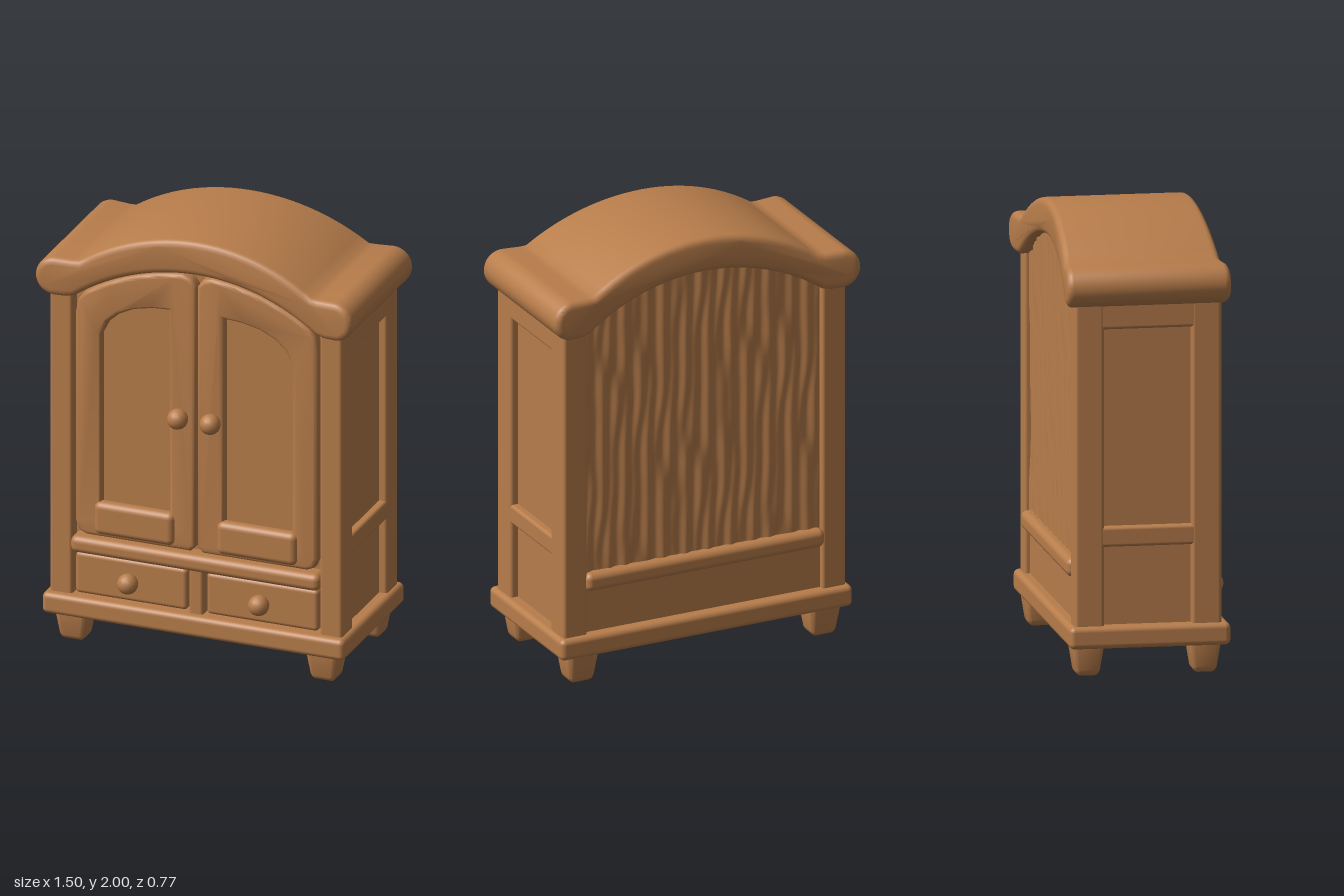
import * as THREE from 'three';
import { toCreasedNormals } from 'three/addons/utils/BufferGeometryUtils.js';
import { RoundedBoxGeometry } from 'three/addons/geometries/RoundedBoxGeometry.js';

const wood = new THREE.MeshStandardMaterial({ color: 0xb87d4b });
wood.name = 'warmWood';

// Height of a shallow arch with its crest at the given height
const arch = (x, crest, r = 0.975) => crest - r + Math.sqrt(r * r - x * x);

// Points along an arch from x = a to x = b
function archPoints(a, b, crest, r, n = 24) {
  const pts = [];
  for (let i = 0; i <= n; i++) {
    const x = a + (b - a) * i / n;
    pts.push(new THREE.Vector2(x, arch(x, crest, r)));
  }
  return pts;
}

// Moves every vertex by a rule
function warp(geo, rule) {
  const p = geo.attributes.position;
  const v = new THREE.Vector3();
  for (let i = 0; i < p.count; i++) {
    v.fromBufferAttribute(p, i);
    rule(v);
    p.setXYZ(i, v.x, v.y, v.z);
  }
  return geo;
}

// Extrudes a shape between two depths with rounded edges inside its outline
function slab(shape, z0, z1, bevel) {
  const geo = new THREE.ExtrudeGeometry(shape, {
    depth: z1 - z0 - 2 * bevel, bevelEnabled: bevel > 0, bevelThickness: bevel,
    bevelSize: bevel, bevelOffset: -bevel, bevelSegments: 4, curveSegments: 16,
  });
  return geo.translate(0, 0, z0 + bevel);
}

export function createModel() {
  const model = new THREE.Group();
  model.name = 'wardrobe';

  const add = (name, geo) => {
    const mesh = new THREE.Mesh(geo, wood);
    mesh.name = name;
    model.add(mesh);
    return mesh;
  };
  const box = (name, x0, x1, y0, y1, z0, z1, r = 0.015) => add(name,
    new RoundedBoxGeometry(x1 - x0, y1 - y0, z1 - z0, 3, r)
      .translate((x0 + x1) / 2, (y0 + y1) / 2, (z0 + z1) / 2));

  // Carcass with an arched top hidden in the crown
  const core = new THREE.Shape([
    new THREE.Vector2(-0.655, 0.2), new THREE.Vector2(0.655, 0.2),
    new THREE.Vector2(0.655, 1.7), ...archPoints(0.57, -0.57, 1.89, 0.975),
    new THREE.Vector2(-0.655, 1.7),
  ]);
  add('carcass', toCreasedNormals(slab(core, -0.3, 0.25, 0), 0.6));

  // Arched crown with rolled ends, waisted towards the middle
  const crownShape = new THREE.Shape();
  crownShape.setFromPoints(archPoints(-0.57, 0.57, 1.84, 0.99));
  crownShape.lineTo(0.61, 1.65);
  crownShape.absarc(0.66, 1.74, 0.09, -Math.PI / 2, Math.PI / 2, false);
  crownShape.lineTo(0.58, 1.828);
  archPoints(0.55, -0.55, 2.0, 0.975).forEach((p) => crownShape.lineTo(p.x, p.y));
  crownShape.lineTo(-0.58, 1.828);
  crownShape.absarc(-0.66, 1.74, 0.09, Math.PI / 2, Math.PI * 1.5, false);
  crownShape.lineTo(-0.61, 1.65);
  const crown = warp(slab(crownShape, -0.345, 0.31, 0.03), (v) => {
    v.z += Math.sign(v.z) * 0.038 * Math.min(1, (v.x / 0.72) ** 2);
  });
  add('crown', toCreasedNormals(crown, 0.7));

  // Plinth
  box('plinth', -0.715, 0.715, 0.13, 0.23, -0.367, 0.35, 0.025);

  for (const s of [-1, 1]) {
    const mirrored = (name, x0, x1, ...rest) =>
      box(name, Math.min(s * x0, s * x1), Math.max(s * x0, s * x1), ...rest);

    // Corner posts and side rails framing the sunken side panels
    mirrored('frontPost', 0.585, 0.692, 0.2, 1.7, 0.18, 0.312);
    mirrored('backPost', 0.575, 0.692, 0.2, 1.7, -0.34, -0.21);
    mirrored('sideMiddleRail', 0.6, 0.69, 0.58, 0.67, -0.25, 0.22);
    mirrored('sideTopRail', 0.6, 0.69, 1.55, 1.7, -0.25, 0.22);

    // Tapered feet
    for (const z of [0.245, -0.275]) {
      const foot = warp(new RoundedBoxGeometry(0.165, 0.16, 0.15, 4, 0.03), (v) => {
        const k = 0.68 + 0.32 * (v.y + 0.08) / 0.16;
        v.x *= k;
        v.z *= k;
      });
      add('foot', toCreasedNormals(foot, 0.9)).position.set(s * 0.593, 0.08, z);
    }

    // Door frame: arched outline with an arched opening
    const side = (pts) => pts.map((p) => new THREE.Vector2(s * p.x, p.y));
    const at = (x, y) => new THREE.Vector2(x, y);
    const door = new THREE.Shape(side([
      at(0.004, 0.545), at(0.03, 0.52), at(0.52, 0.52), at(0.555, 0.535), at(0.573, 0.58),
      at(0.573, 1.58), at(0.56, 1.64), ...archPoints(0.53, 0.07, 1.84, 0.95, 12),
      at(0.03, 1.825), at(0.004, 1.79),
    ]));
    door.holes.push(new THREE.Path(side([
      at(0.13, 0.66), at(0.13, 1.655), at(0.21, 1.65), at(0.3, 1.63),
      at(0.37, 1.595), at(0.42, 1.55), at(0.45, 1.49), at(0.45, 0.66),
    ])));
    add('doorFrame', toCreasedNormals(slab(door, 0.235, 0.308, 0.02), 0.7));
    mirrored('doorPanel', 0.08, 0.5, 0.56, 1.68, 0.22, 0.268, 0.01);
    mirrored('doorBottomRail', 0.1, 0.48, 0.535, 0.69, 0.26, 0.328, 0.03);

    // Drawer
    mirrored('drawer', 0.045, 0.575, 0.232, 0.43, 0.22, 0.302, 0.02);

    // Round knobs on short necks
    for (const [name, x, y, z] of [['doorKnob', 0.077, 1.157, 0.332], ['drawerKnob', 0.31, 0.333, 0.34]]) {
      add(name, new THREE.SphereGeometry(0.047, 14, 10)).position.set(s * x, y, z);
      const neck = new THREE.CylinderGeometry(0.022, 0.03, 0.07, 12).rotateX(Math.PI / 2);
      add(name + 'Neck', neck).position.set(s * x, y, z - 0.04);
    }
  }

  // Rails and drawer divider
  box('frontRail', -0.59, 0.59, 0.432, 0.512, 0.22, 0.332, 0.03);
  box('drawerDivider', -0.034, 0.034, 0.21, 0.45, 0.22, 0.312, 0.015);
  box('backRail', -0.585, 0.585, 0.43, 0.515, -0.358, -0.25, 0.03);
  box('backLowerPanel', -0.6, 0.6, 0.21, 0.46, -0.315, -0.25, 0.01);

  // Back board with vertical wood grain, its top following the arch
  const board = new THREE.PlaneGeometry(1.18, 1, 150, 24).rotateY(Math.PI);
  warp(board, (v) => {
    const t = v.y + 0.5;
    v.y = 0.49 + t * (arch(v.x, 1.87) - 0.49);
    const wobble = 0.9 * Math.sin(v.y * 6 + v.x * 9) + 0.5 * Math.sin(v.y * 13);
    v.z = -0.314 + 0.004 * Math.sin(v.x * 62 + wobble)
      + 0.003 * Math.sin(v.x * 107 - wobble * 1.4 + 2);
  });
  board.computeVertexNormals();
  add('backBoard', board);

  return model;
}
